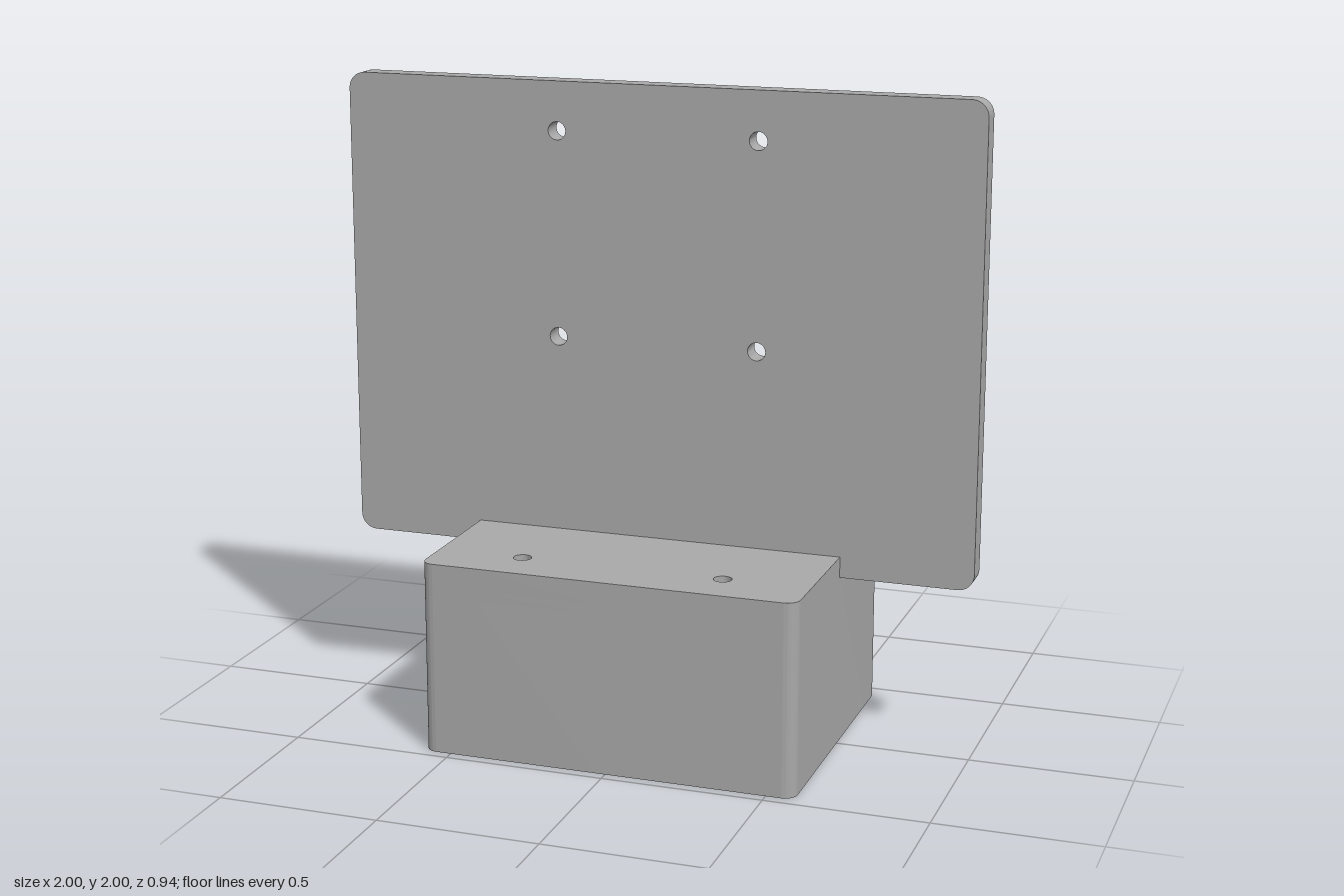
import * as THREE from 'three';
import { toCreasedNormals } from 'three/addons/utils/BufferGeometryUtils.js';

// Trace a centred rounded rectangle
function roundedRect(path, hw, hh, r) {
  path.moveTo(-hw + r, -hh);
  path.lineTo(hw - r, -hh);
  path.absarc(hw - r, -hh + r, r, -Math.PI / 2, 0);
  path.lineTo(hw, hh - r);
  path.absarc(hw - r, hh - r, r, 0, Math.PI / 2);
  path.lineTo(-hw + r, hh);
  path.absarc(-hw + r, hh - r, r, Math.PI / 2, Math.PI);
  path.lineTo(-hw, -hh + r);
  path.absarc(-hw + r, -hh + r, r, Math.PI, Math.PI * 1.5);
  return path;
}

// Four screw holes on a square pattern, centred at height cy
function addScrewHoles(shape, cy) {
  for (const x of [-0.317, 0.317]) {
    for (const y of [-0.317, 0.317]) {
      const hole = new THREE.Path();
      hole.absarc(x, cy + y, 0.028, 0, Math.PI * 2);
      shape.holes.push(hole);
    }
  }
}

function extrude(shape, depth) {
  const g = new THREE.ExtrudeGeometry(shape, { depth, bevelEnabled: false, curveSegments: 10 });
  return toCreasedNormals(g, 0.7);
}

export function createModel() {
  const model = new THREE.Group();
  model.name = 'mountingBracket';
  const grey = new THREE.MeshStandardMaterial({ color: 0xa8a8a8 });
  grey.name = 'grey';

  const add = (name, geometry, parent = model) => {
    const mesh = new THREE.Mesh(geometry, grey);
    mesh.name = name;
    parent.add(mesh);
    return mesh;
  };

  // Hollow base, open underneath, with blind screw holes in its top
  const base = new THREE.Group();
  base.name = 'base';
  model.add(base);
  const outline = () => roundedRect(new THREE.Shape(), 0.587, 0.468, 0.04);
  const walls = outline();
  walls.holes.push(roundedRect(new THREE.Path(), 0.557, 0.438, 0.01));
  const top = outline();
  addScrewHoles(top, 0);
  const layers = [
    ['baseWalls', walls, 0, 0.5],
    ['baseCeiling', outline(), 0.5, 0.53],
    ['baseTop', top, 0.53, 0.6],
  ];
  for (const [name, shape, y0, y1] of layers) {
    add(name, extrude(shape, y1 - y0).rotateX(-Math.PI / 2), base).position.y = y0;
  }

  // Upright plate with four through holes
  const plate = roundedRect(new THREE.Shape(), 1, 0.7325, 0.05);
  addScrewHoles(plate, 0.265);
  add('backPlate', extrude(plate, 0.07)).position.set(0, 1.2675, -0.07);

  // Triangular braces behind the plate; profile x runs backwards
  const profile = new THREE.Shape();
  profile.moveTo(0.07, 0.6);
  profile.lineTo(0.468, 0.6);
  profile.lineTo(0.07, 1.355);
  profile.closePath();
  for (const [name, x] of [['leftBrace', 0.52], ['rightBrace', -0.52]]) {
    const g = extrude(profile, 0.07).translate(0, 0, -0.035).rotateY(Math.PI / 2);
    add(name, g).position.x = x;
  }

  return model;
}
